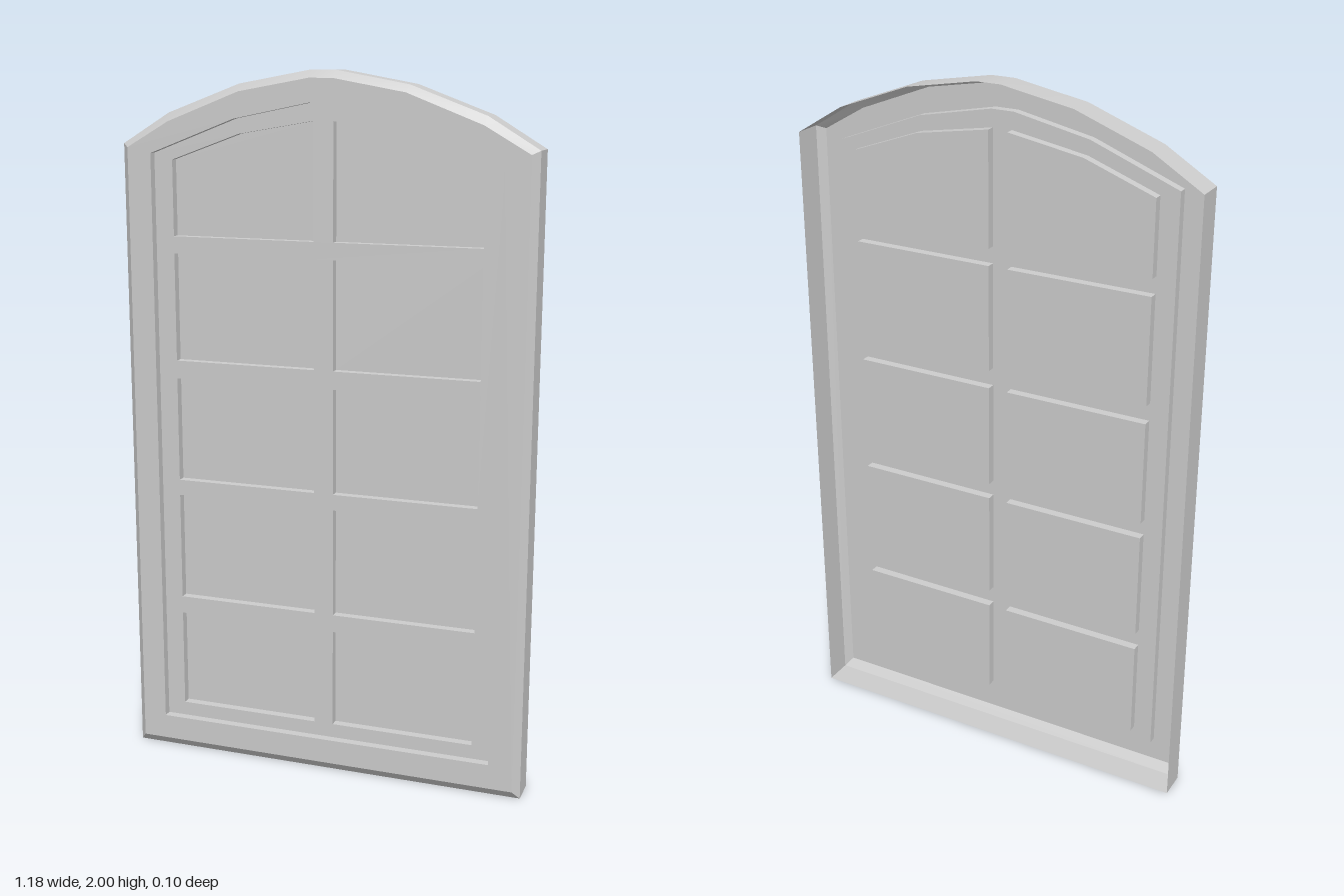
import * as THREE from 'three';
import { toCreasedNormals } from 'three/addons/utils/BufferGeometryUtils.js';

const material = new THREE.MeshStandardMaterial({ color: 0xcccccc, side: THREE.DoubleSide });

// depths of the stepped layers
const BACK = -0.05, EDGE = 0.03, FRONT = 0.05, SASH = 0.025, GLASS = 0;

// symmetric counter-clockwise outline: flat bottom plus the right half of the arch, springing to crown
function archOutline(bottom, arch) {
  const w = arch[0][0];
  const left = arch.map(([x, y]) => [-x, y]).reverse();
  return [[-w, bottom], [w, bottom], ...arch, ...left].map(([x, y]) => new THREE.Vector2(x, y));
}

// band of quads joining two matching outlines at two depths
function band(a, za, b, zb) {
  const pos = [];
  a.forEach((p, i) => {
    const j = (i + 1) % a.length;
    const A = [p.x, p.y, za], B = [a[j].x, a[j].y, za];
    const C = [b[j].x, b[j].y, zb], D = [b[i].x, b[i].y, zb];
    pos.push(...A, ...B, ...C, ...A, ...C, ...D);
  });
  const g = new THREE.BufferGeometry();
  g.setAttribute('position', new THREE.Float32BufferAttribute(pos, 3));
  return toCreasedNormals(g, 0.6);
}

// flat face at depth z, with openings
function face(outline, z, holes = []) {
  const s = new THREE.Shape(outline);
  s.holes = holes.map((h) => new THREE.Path(h));
  return new THREE.ShapeGeometry(s).translate(0, 0, z);
}

export function createModel() {
  const group = new THREE.Group();
  const add = (name, geometry, parent = group) => {
    const m = new THREE.Mesh(geometry, material);
    m.name = name;
    parent.add(m);
  };

  const outer = archOutline(0, [[0.59, 1.8], [0.45, 1.885], [0.24, 1.963], [0.035, 2]]);
  const inner = archOutline(0.025, [[0.57, 1.79], [0.445, 1.862], [0.235, 1.943], [0.033, 1.979]]);
  const sash = archOutline(0.097, [[0.5, 1.775], [0.25, 1.871], [0.033, 1.915]]);

  // pane openings: four rectangular rows and an arched top row, mirrored about the middle bar
  const x0 = 0.028, x1 = 0.446;
  const rows = [[0.138, 0.425], [0.476, 0.79], [0.836, 1.138], [1.19, 1.497]];
  const rightPanes = rows.map(([b, t]) => [[x0, b], [x1, b], [x1, t], [x0, t]]);
  rightPanes.push([[x0, 1.545], [x1, 1.545], [x1, 1.757], [0.245, 1.83], [x0, 1.867]]);
  const panes = [];
  for (const p of rightPanes) {
    panes.push(p.map(([x, y]) => new THREE.Vector2(x, y)));
    panes.push(p.map(([x, y]) => new THREE.Vector2(-x, y)).reverse());
  }

  // outer frame, open at the back
  add('frameSides', band(outer, BACK, outer, EDGE));
  add('frameBevel', band(outer, EDGE, inner, FRONT));
  add('frameFace', face(inner, FRONT, [sash]));

  // recessed sash with glazing bars
  add('sashReveal', band(sash, FRONT, sash, SASH));
  add('sashBars', face(sash, SASH, panes));

  // recessed panes
  panes.forEach((p) => {
    const pane = new THREE.Group();
    pane.name = 'pane';
    add('paneReveal', band(p, SASH, p, GLASS), pane);
    add('paneGlass', face(p, GLASS), pane);
    group.add(pane);
  });
  return group;
}
